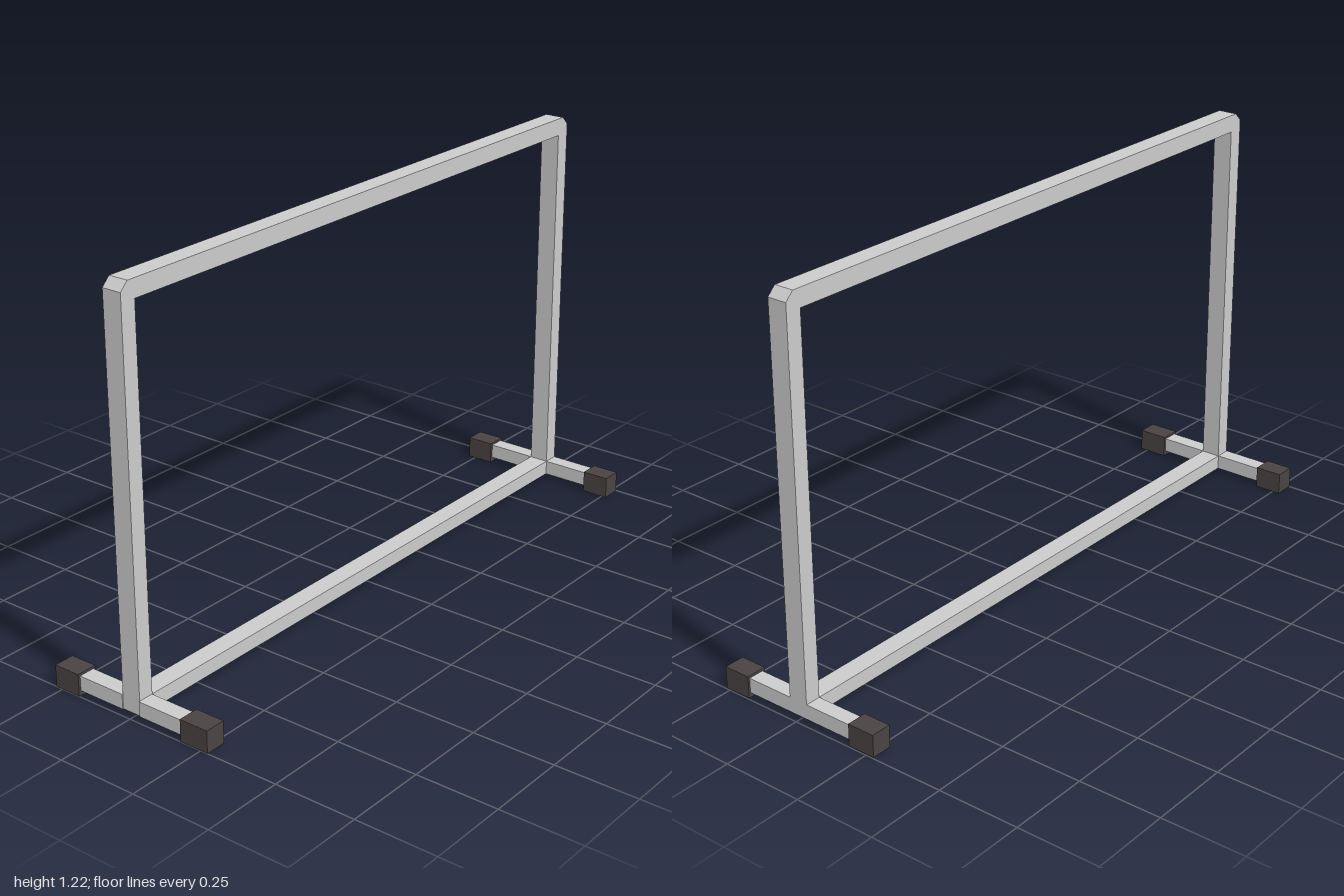
import * as THREE from 'three';

const steel = new THREE.MeshStandardMaterial({ color: 0xcccccc, flatShading: true });
const rubber = new THREE.MeshStandardMaterial({ color: 0x4a4343, flatShading: true });

// Box given by its lower and upper limits on each axis
function boxBetween(name, [x0, x1], [y0, y1], [z0, z1], material) {
  const mesh = new THREE.Mesh(new THREE.BoxGeometry(x1 - x0, y1 - y0, z1 - z0), material);
  mesh.position.set((x0 + x1) / 2, (y0 + y1) / 2, (z0 + z1) / 2);
  mesh.name = name;
  return mesh;
}

export function createModel() {
  const model = new THREE.Group();
  model.name = 'floorStand';

  const outer = 0.99, inner = 0.942, bottom = 0.015, barTop = 0.06;
  const top = 1.217, underTop = 1.164, chamfer = 0.025;
  const frontZ = 0.029, backZ = -0.032;

  // Rectangular tube frame with chamfered upper corners
  const outline = new THREE.Shape([
    [-outer, bottom], [outer, bottom], [outer, top - chamfer], [outer - chamfer, top],
    [-outer + chamfer, top], [-outer, top - chamfer],
  ].map(([x, y]) => new THREE.Vector2(x, y)));
  outline.holes.push(new THREE.Path([
    [-inner, barTop], [-inner, underTop], [inner, underTop], [inner, barTop],
  ].map(([x, y]) => new THREE.Vector2(x, y))));
  const frameGeometry = new THREE.ExtrudeGeometry(outline, { depth: frontZ - backZ, bevelEnabled: false });
  frameGeometry.translate(0, 0, backZ);
  const frame = new THREE.Mesh(frameGeometry, steel);
  frame.name = 'frame';
  model.add(frame);

  // Feet running forward and back from each post, ending in rubber caps
  for (const side of [-1, 1]) {
    const name = side > 0 ? 'left' : 'right';
    const footX = side > 0 ? [inner, outer] : [-outer - 0.003, -inner - 0.001];
    const capX = side > 0 ? [0.933, 0.996] : [-1, -0.936];
    const tip = side > 0 ? 0.265 : 0.273;
    const footY = [bottom, barTop], capY = [0, 0.067];
    model.add(
      boxBetween(name + 'FrontFoot', footX, footY, [frontZ, 0.2], steel),
      boxBetween(name + 'BackFoot', footX, footY, [-0.2, backZ], steel),
      boxBetween(name + 'FrontCap', capX, capY, [0.18, tip], rubber),
      boxBetween(name + 'BackCap', capX, capY, [-0.273, -0.187], rubber),
    );
  }
  return model;
}
